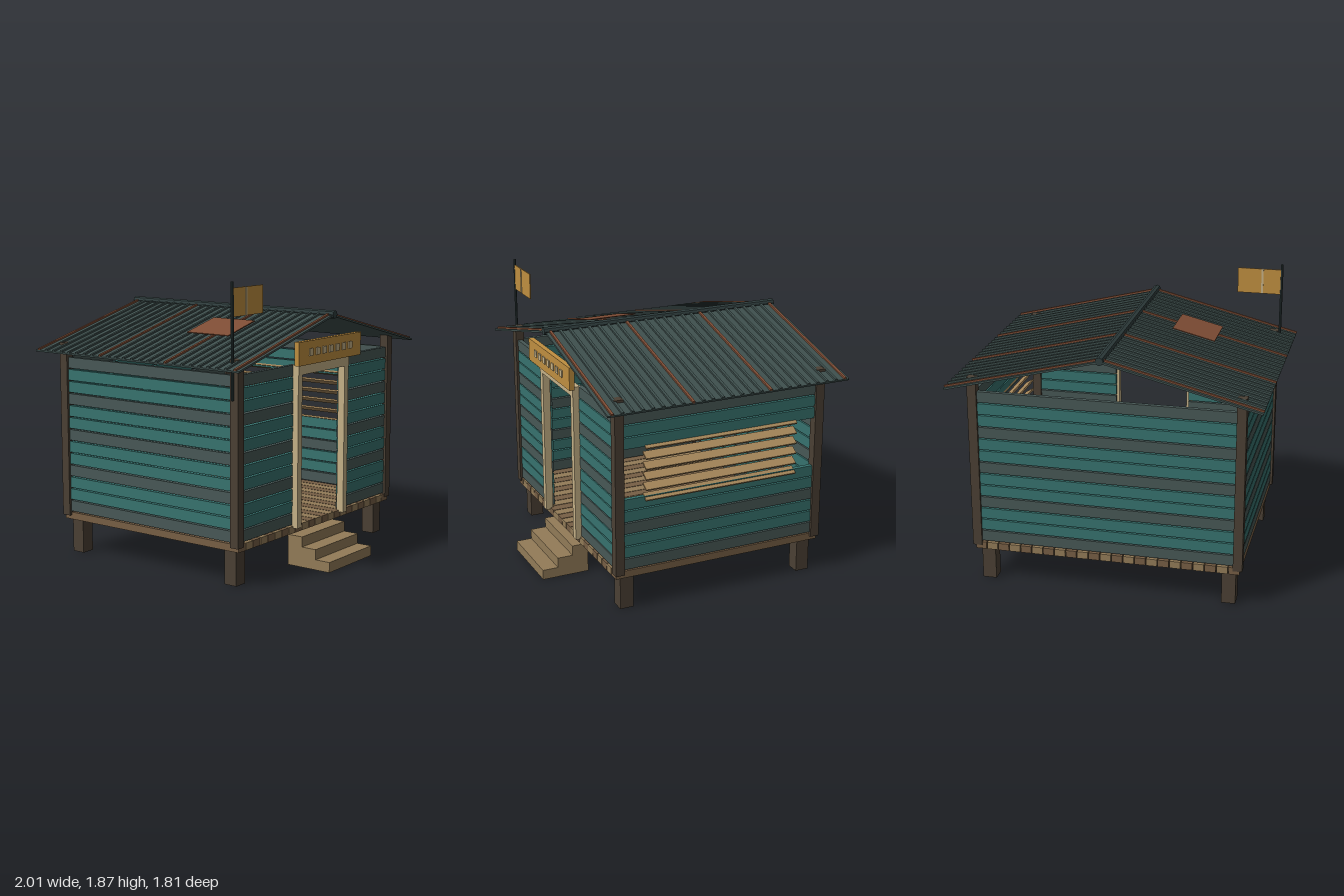
import * as THREE from 'three';

const mat = (color) => new THREE.MeshStandardMaterial({ color, flatShading: true });
const M = {
  teal: mat(0x37736f), grey: mat(0x485856), post: mat(0x4b4034),
  roof: mat(0x3f504e), ridge: mat(0x2f3d3d), rust: mat(0x7f4d35),
  wood: mat(0x937c58), woodDark: mat(0x775f45), slat: mat(0xa5865a),
  cream: mat(0xc6b288), sign: mat(0xc08f40),
};

// Box given by its size and centre
function box(parent, name, material, w, h, d, x, y, z) {
  const mesh = new THREE.Mesh(new THREE.BoxGeometry(w, h, d), material);
  mesh.name = name;
  mesh.position.set(x, y, z);
  parent.add(mesh);
  return mesh;
}

function group(parent, name) {
  const g = new THREE.Group();
  g.name = name;
  parent.add(g);
  return g;
}

const FRONT = 0.63, BACK = -0.765, MID = (FRONT + BACK) / 2, SIDE = 0.855;

function addBase(root) {
  // Stilts and corner posts
  for (const s of [-1, 1]) {
    for (const z of [0.568, -0.705]) box(root, 'stilt', M.post, 0.09, 0.23, 0.09, s * 0.795, 0.115, z);
    for (const z of [FRONT, BACK]) box(root, 'cornerPost', M.post, 0.06, 1.153, 0.06, s * SIDE, 0.8285, z);
  }
  // Floor planks run from front to back
  const floor = group(root, 'floor');
  const n = 23, pitch = 1.74 / n;
  for (let i = 0; i < n; i++) {
    box(floor, 'floorPlank', i % 2 ? M.wood : M.woodDark, pitch - 0.006, 0.047, 1.44,
      (i - (n - 1) / 2) * pitch, 0.2485, MID);
  }
  // Three solid steps
  const steps = group(root, 'steps');
  for (let i = 0; i < 3; i++) {
    const depth = 0.32 - i * 0.105;
    box(steps, 'step', M.wood, 0.5, 0.0667, depth, 0, 0.0333 + i * 0.0667, 0.585 + depth / 2);
  }
}

function addWalls(root) {
  const walls = group(root, 'walls');
  const H = 0.071, T = 0.03;
  const sideLength = FRONT - BACK - 0.05;
  for (let i = 0; i < 13; i++) {
    const y = 0.317 + i * 0.0798;
    const m = i % 3 ? M.teal : M.grey;
    box(walls, 'backBoard', m, 1.66, H, T, 0, y, BACK);
    box(walls, 'leftOrRightBoard', m, T, H, sideLength, -SIDE, y, MID);
    // Window opening between the lower and upper boards
    if (i < 6 || i > 9) box(walls, 'windowSideBoard', m, T, H, sideLength, SIDE, y, MID);
    for (const s of [-1, 1]) box(walls, 'frontBoard', m, 0.565, H, T, s * 0.5475, y, FRONT);
  }
  // Tilted window slats
  const shutter = group(root, 'windowSlats');
  for (let i = 0; i < 6; i++) {
    const slat = box(shutter, 'slat', M.slat, 0.06, 0.012, 1.055, 0.862, 0.744 + i * 0.0682, -0.072);
    slat.rotation.z = -0.54;
  }
}

function addDoorway(root) {
  const door = group(root, 'doorFrame');
  for (const s of [-1, 1]) box(door, 'doorJamb', M.cream, 0.045, 1.05, 0.05, s * 0.2675, 0.785, 0.66);
  box(door, 'doorLintel', M.cream, 0.58, 0.065, 0.052, 0, 1.2785, 0.662);
  // Sign board with a row of plain blocks
  const sign = group(root, 'sign');
  box(sign, 'signBoard', M.sign, 0.715, 0.15, 0.035, 0, 1.39, 0.7175);
  for (let i = -3; i <= 3; i++) box(sign, 'signBlock', M.cream, 0.04, 0.046, 0.008, i * 0.075, 1.392, 0.737);
}

function addRoof(root) {
  const roof = group(root, 'roof');
  const angle = Math.atan(0.25), length = 1.028, zMid = -0.073;
  for (const s of [-1, 1]) {
    const panel = group(roof, 'roofPanel');
    panel.position.set(s * 0.5, 1.479, zMid);
    panel.rotation.z = -s * angle;
    box(panel, 'roofSheet', M.roof, length, 0.012, 1.652, 0, 0, 0);
    // Raised ribs, every eighth one rusted
    for (let i = 0; i < 25; i++) {
      box(panel, 'roofRib', i % 8 ? M.roof : M.rust, length, 0.014, 0.017, 0, 0.01, (12 - i) * 0.0664);
    }
    // Loose patch plate on one slope
    if (s < 0) box(panel, 'roofPatch', M.rust, 0.288, 0.006, 0.33, 0.103, 0.026, 0.165 - zMid);
  }
  const cap = new THREE.Mesh(new THREE.CylinderGeometry(0.026, 0.026, 1.67, 8), M.ridge);
  cap.name = 'ridgeCap';
  cap.rotation.x = Math.PI / 2;
  cap.position.set(0, 1.61, -0.07);
  roof.add(cap);
}

function addFlag(root) {
  const flag = group(root, 'flag');
  const pole = new THREE.Mesh(new THREE.CylinderGeometry(0.009, 0.009, 0.71, 8), M.ridge);
  pole.name = 'flagPole';
  pole.position.set(-0.895, 1.515, 0.626);
  flag.add(pole);
  box(flag, 'flagCloth', M.sign, 0.295, 0.172, 0.007, -0.742, 1.746, 0.626);
  box(flag, 'flagStripe', M.cream, 0.014, 0.172, 0.012, -0.763, 1.746, 0.627);
}

export function createModel() {
  const root = new THREE.Group();
  root.name = 'stiltHut';
  addBase(root);
  addWalls(root);
  addDoorway(root);
  addRoof(root);
  addFlag(root);
  return root;
}
